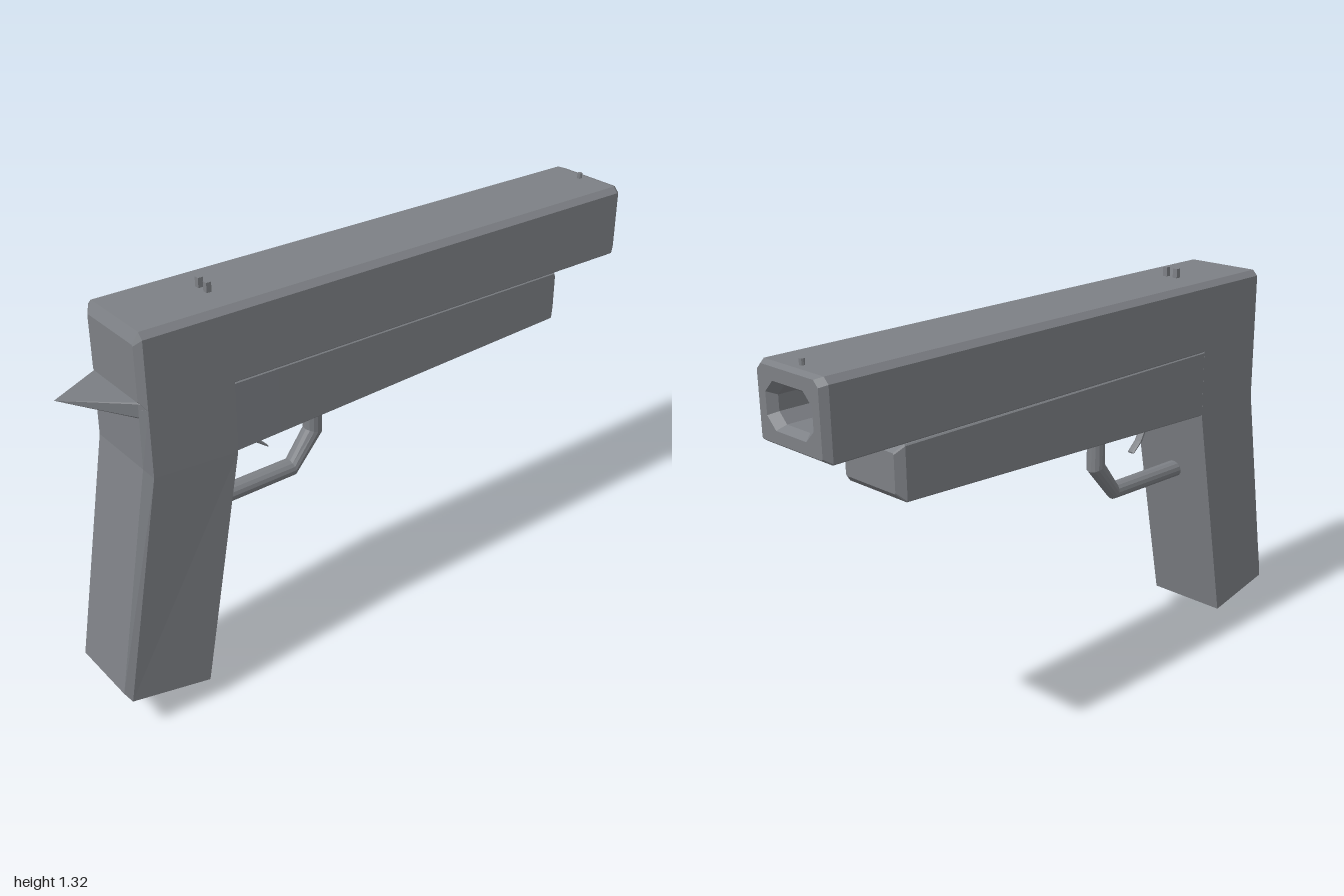
import * as THREE from 'three';

const metal = new THREE.MeshStandardMaterial({ color: 0x7d8085 });
metal.name = 'gunmetal grey';
metal.flatShading = true;

// Closed, flat-shaded skin through rings of equal point count, capped at both ends
function loft(rings) {
  const pos = [];
  const tri = (a, b, c) => pos.push(...a, ...b, ...c);
  const n = rings[0].length;
  for (let r = 0; r < rings.length - 1; r++) {
    for (let i = 0; i < n; i++) {
      const j = (i + 1) % n, A = rings[r], B = rings[r + 1];
      tri(A[i], A[j], B[j]);
      tri(A[i], B[j], B[i]);
    }
  }
  const first = rings[0], last = rings[rings.length - 1];
  for (let i = 1; i < n - 1; i++) {
    tri(first[0], first[i + 1], first[i]);
    tri(last[0], last[i], last[i + 1]);
  }
  // Turn the skin outward if its signed volume is negative
  let vol = 0;
  for (let k = 0; k < pos.length; k += 9) {
    const [a, b, c, d, e, f, g, h, i] = pos.slice(k, k + 9);
    vol += a * (e * i - f * h) - b * (d * i - f * g) + c * (d * h - e * g);
  }
  if (vol < 0) {
    for (let k = 0; k < pos.length; k += 9) {
      for (let m = 0; m < 3; m++) {
        [pos[k + 3 + m], pos[k + 6 + m]] = [pos[k + 6 + m], pos[k + 3 + m]];
      }
    }
  }
  const geo = new THREE.BufferGeometry();
  geo.setAttribute('position', new THREE.Float32BufferAttribute(pos, 3));
  geo.computeVertexNormals();
  return geo;
}

// Upright eight-sided section with separate top and bottom corner cuts
function section(z, w, y0, y1, top = 0.004, bottom = 0.004) {
  return [
    [w - bottom, y0, z], [w, y0 + bottom, z], [w, y1 - top, z], [w - top, y1, z],
    [-w + top, y1, z], [-w, y1 - top, z], [-w, y0 + bottom, z], [-w + bottom, y0, z],
  ];
}

// Six-cornered grip section; each corner pair is [half width, y, z]
function gripRing(pairs) {
  return [
    ...pairs.map(([x, y, z]) => [x, y, z]),
    ...pairs.slice().reverse().map(([x, y, z]) => [-x, y, z]),
  ];
}

// Round bar in the side plane between an outer and inner outline of [z, y] points
function bar(outer, inner, halfWidth, sides) {
  return loft(outer.map(([zo, yo], k) => {
    const [zi, yi] = inner[k];
    return Array.from({ length: sides }, (_, s) => {
      const a = ((s + 0.5) / sides) * Math.PI * 2, t = 0.5 + Math.cos(a) * 0.5;
      return [Math.sin(a) * halfWidth, yo + (yi - yo) * t, zo + (zi - zo) * t];
    });
  }));
}

export function createModel() {
  const group = new THREE.Group();
  group.name = 'pistol';
  const add = (name, geo, x = 0, y = 0, z = 0) => {
    const mesh = new THREE.Mesh(geo, metal);
    mesh.name = name;
    mesh.position.set(x, y, z);
    group.add(mesh);
  };

  // Slide, turned inward at the muzzle to form the bore
  add('slide', loft([
    section(0.82, 0.122, 1.08, 1.25),
    section(0.803, 0.145, 1.055, 1.285, 0.018),
    section(-0.978, 0.145, 1.055, 1.285, 0.018),
    section(-1, 0.13, 1.07, 1.278, 0.018),
    section(-1, 0.1, 1.105, 1.24, 0.035, 0.035),
    section(-0.975, 0.08, 1.12, 1.225, 0.03, 0.03),
    section(-0.6, 0.08, 1.12, 1.225, 0.03, 0.03),
  ]));

  // Frame rail under the slide, narrowing to a bevelled nose
  add('frameRail', loft([
    section(0.55, 0.145, 0.836, 1.056),
    section(0.38, 0.143, 0.842, 1.055),
    section(-0.73, 0.127, 0.88, 1.045),
    section(-0.755, 0.107, 0.905, 1.022),
  ]));

  // Raked grip with cut rear edges and a pointed base
  const tip = [0, 0, 0.83];
  add('grip', loft([
    gripRing([[0.145, 1.06, 0.53], [0.145, 1.06, 0.803], [0.122, 1.06, 0.82]]),
    gripRing([[0.145, 0.835, 0.53], [0.145, 0.85, 0.803], [0.122, 0.875, 0.822]]),
    gripRing([[0.143, 0.073, 0.67], [0.136, 0.12, 0.932], [0.12, 0.148, 0.95]]),
    Array(6).fill(tip),
  ]));

  // Pointed tang behind the slide
  add('tang', loft([
    section(0.8, 0.145, 1.04, 1.075),
    section(0.82, 0.122, 1.032, 1.08),
    Array(8).fill([0, 1.095, 1]),
  ]));

  // Trigger guard and trigger
  add('triggerGuard', bar(
    [[0.6, 0.575], [0.242, 0.583], [0.135, 0.705], [0.135, 0.88]],
    [[0.6, 0.633], [0.257, 0.638], [0.195, 0.727], [0.195, 0.88]], 0.03, 14));
  add('trigger', bar(
    [[0.415, 0.86], [0.402, 0.78], [0.385, 0.75], [0.34, 0.718]],
    [[0.395, 0.86], [0.386, 0.785], [0.368, 0.755], [0.338, 0.724]], 0.014, 8));

  // Sights
  for (const side of [-1, 1]) {
    add(side > 0 ? 'rearSightLeft' : 'rearSightRight',
      new THREE.BoxGeometry(0.017, 0.036, 0.016), side * 0.021, 1.297, 0.525);
  }
  add('frontSight', new THREE.CylinderGeometry(0.008, 0.008, 0.022, 8), 0, 1.292, -0.95);

  return group;
}
